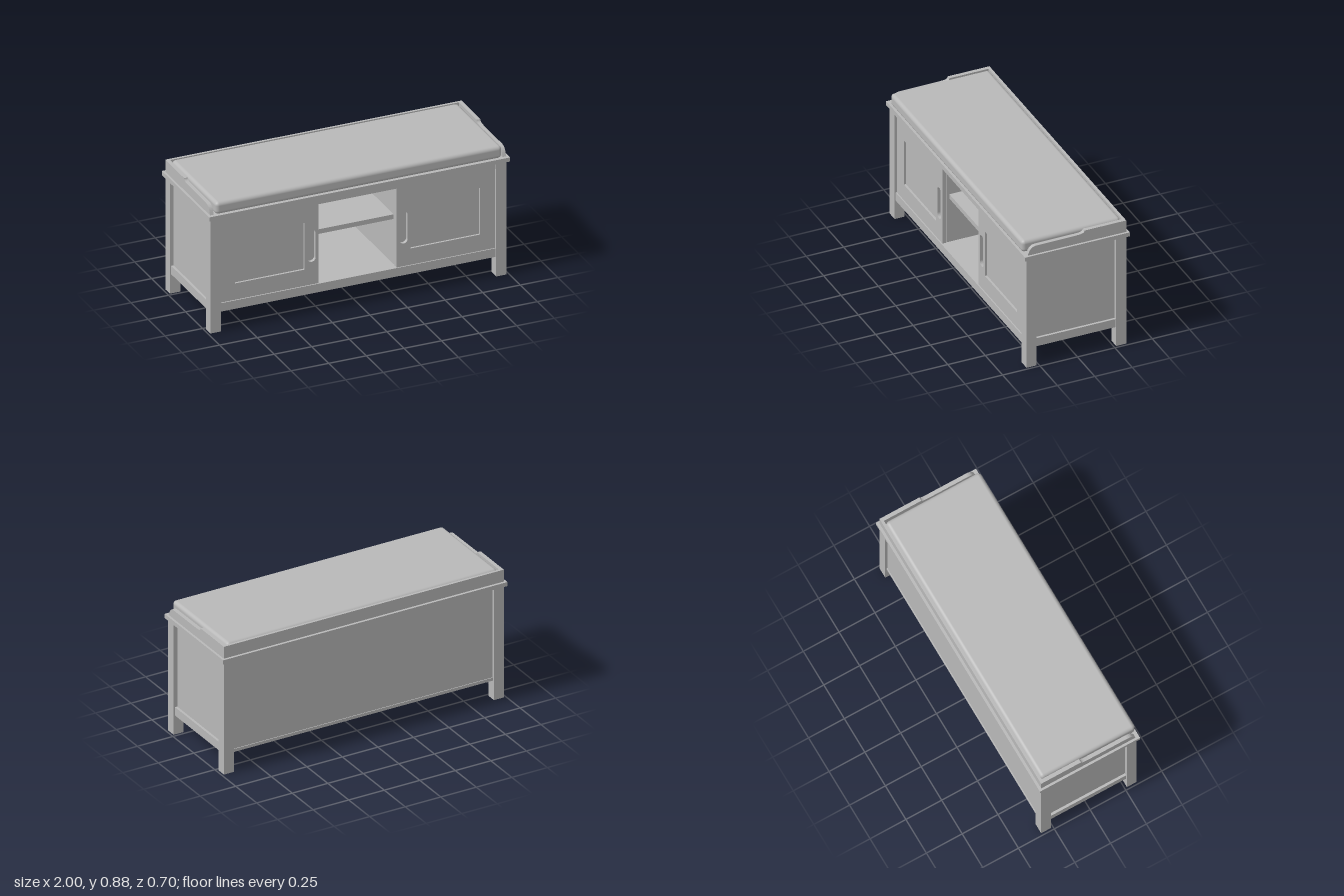
import * as THREE from 'three';
import { RoundedBoxGeometry } from 'three/addons/geometries/RoundedBoxGeometry.js';

const grey = new THREE.MeshStandardMaterial({ color: 0xb8b8b8 });
grey.name = 'grey';

function add(group, name, geometry) {
  const mesh = new THREE.Mesh(geometry, grey);
  mesh.name = name;
  group.add(mesh);
  return mesh;
}

// Box given by its lower and upper limits on each axis
function box(group, name, [x0, x1], [y0, y1], [z0, z1]) {
  const mesh = add(group, name, new THREE.BoxGeometry(x1 - x0, y1 - y0, z1 - z0));
  mesh.position.set((x0 + x1) / 2, (y0 + y1) / 2, (z0 + z1) / 2);
  return mesh;
}

// Frame door with recessed panel and a slot grip in the inner stile
function door(side) {
  const g = new THREE.Group();
  g.name = side < 0 ? 'rightDoor' : 'leftDoor';
  const span = (a, b) => (side > 0 ? [a, b] : [-b, -a]);
  const z = [0.29, 0.318];
  box(g, 'outerStile', span(0.815, 0.915), [0.187, 0.722], z);
  box(g, 'topRail', span(0.352, 0.815), [0.612, 0.722], z);
  box(g, 'bottomRail', span(0.352, 0.815), [0.187, 0.297], z);
  box(g, 'doorPanel', span(0.352, 0.815), [0.297, 0.612], [0.292, 0.304]);

  const [a, b] = span(0.259, 0.352);
  const stile = new THREE.Shape();
  stile.moveTo(a, 0.187).lineTo(b, 0.187).lineTo(b, 0.722).lineTo(a, 0.722).closePath();
  const cx = side * 0.306, r = 0.027;
  const slot = new THREE.Path();
  slot.absarc(cx, 0.53, r, 0, Math.PI, false);
  slot.absarc(cx, 0.367, r, Math.PI, Math.PI * 2, false);
  slot.closePath();
  stile.holes.push(slot);
  const geo = new THREE.ExtrudeGeometry(stile, { depth: 0.028, bevelEnabled: false, curveSegments: 10 });
  add(g, 'gripStile', geo).position.z = 0.29;
  box(g, 'gripBack', [cx - 0.03, cx + 0.03], [0.33, 0.567], [0.286, 0.296]);
  return g;
}

// Side board of the tray: tall at the back, stepping down and rounding off in front
function trayEnd(group, side) {
  const s = new THREE.Shape();
  s.moveTo(-0.333, 0.795);
  s.lineTo(-0.333, 0.876);
  s.lineTo(-0.055, 0.876);
  s.bezierCurveTo(-0.05, 0.855, -0.03, 0.857, 0, 0.855);
  s.lineTo(0.27, 0.853);
  s.bezierCurveTo(0.31, 0.85, 0.315, 0.82, 0.326, 0.795);
  s.closePath();
  const geo = new THREE.ExtrudeGeometry(s, { depth: 0.025, bevelEnabled: false, curveSegments: 8 });
  geo.rotateY(-Math.PI / 2); // profile z runs along +z, thickness along -x
  add(group, 'trayEnd', geo).position.x = side > 0 ? 0.985 : -0.96;
}

export function createModel() {
  const model = new THREE.Group();
  model.name = 'storageBench';

  // Corner legs, end panels and end rails
  for (const s of [-1, 1]) {
    const x = (a, b) => (s > 0 ? [a, b] : [-b, -a]);
    box(model, 'frontLeg', x(0.915, 0.985), [0, 0.765], [0.266, 0.333]);
    box(model, 'backLeg', x(0.915, 0.985), [0, 0.765], [-0.333, -0.266]);
    box(model, 'endPanel', x(0.935, 0.96), [0.15, 0.765], [-0.27, 0.27]);
    box(model, 'endRail', x(0.94, 0.976), [0.13, 0.187], [-0.266, 0.266]);
    box(model, 'divider', x(0.262, 0.285), [0.187, 0.765], [-0.3, 0.285]);
    model.add(door(s));
    trayEnd(model, s);
  }

  // Middle foot, set slightly askew
  const foot = box(model, 'middleFoot', [-0.023, 0.043], [0, 0.17], [-0.025, 0.041]);
  foot.rotation.y = 0.32;

  // Carcass
  box(model, 'frontTopRail', [-0.915, 0.915], [0.722, 0.765], [0.285, 0.322]);
  box(model, 'frontBottomRail', [-0.915, 0.915], [0.13, 0.187], [0.29, 0.326]);
  box(model, 'floor', [-0.94, 0.94], [0.16, 0.187], [-0.305, 0.295]);
  box(model, 'backPanel', [-0.92, 0.92], [0.15, 0.765], [-0.318, -0.3]);
  box(model, 'backRail', [-0.915, 0.915], [0.13, 0.15], [-0.323, -0.3]);
  box(model, 'shelf', [-0.262, 0.262], [0.493, 0.524], [-0.3, 0.27]);

  // Seat board, tray back and cushion
  box(model, 'seatBoard', [-1, 1], [0.767, 0.795], [-0.35, 0.35]);
  box(model, 'trayBack', [-0.96, 0.96], [0.795, 0.876], [-0.333, -0.316]);
  const cushion = add(model, 'cushion', new RoundedBoxGeometry(1.904, 0.082, 0.66, 5, 0.024));
  cushion.position.set(-0.002, 0.838, 0.016);

  return model;
}
